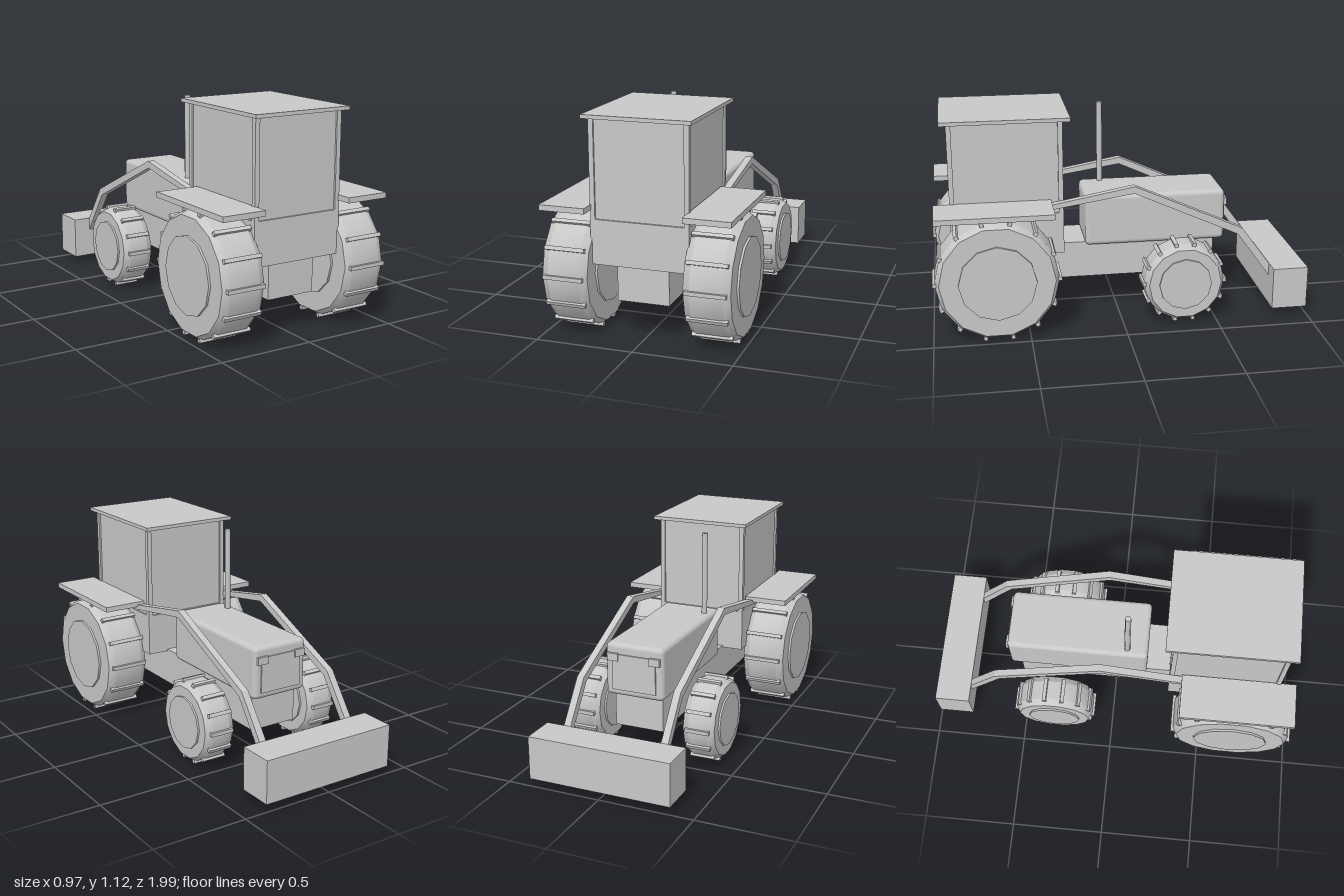
import * as THREE from 'three';
import { toCreasedNormals } from 'three/addons/utils/BufferGeometryUtils.js';
import { RoundedBoxGeometry } from 'three/addons/geometries/RoundedBoxGeometry.js';

export function createModel() {
  const model = new THREE.Group();
  model.name = 'tractor';
  const grey = new THREE.MeshStandardMaterial({ color: 0xc8c8c8 });
  grey.name = 'plainGrey';

  const add = (name, geometry, parent = model) => {
    const mesh = new THREE.Mesh(geometry, grey);
    mesh.name = name;
    parent.add(mesh);
    return mesh;
  };
  // Box given by its limits on each axis
  const box = (name, [x0, x1], [y0, y1], [z0, z1]) => {
    const mesh = add(name, new THREE.BoxGeometry(x1 - x0, y1 - y0, z1 - z0));
    mesh.position.set((x0 + x1) / 2, (y0 + y1) / 2, (z0 + z1) / 2);
  };
  // Limits on the left (+1) or right (-1) side
  const side = (s, a, b) => (s > 0 ? [a, b] : [-b, -a]);

  // Chassis and cab
  box('chassis', [-0.133, 0.133], [0.2, 0.4], [-0.53, 0.84]);
  box('cabBase', [-0.25, 0.25], [0.39, 0.615], [0.3, 0.887]);
  box('cabWindows', [-0.24, 0.24], [0.615, 1.11], [0.31, 0.877]);
  for (const s of [-1, 1]) {
    for (const z of [0.3, 0.862]) {
      box('cabPost', side(s, 0.225, 0.25), [0.615, 1.11], [z, z + 0.025]);
    }
  }
  box('cabRoof', [-0.273, 0.273], [1.108, 1.127], [0.26, 0.922]);

  // Hood with grille, lamps and exhaust
  add('hood', new RoundedBoxGeometry(0.32, 0.28, 0.76, 3, 0.025)).position.set(0, 0.525, -0.205);
  box('grille', [-0.12, 0.12], [0.42, 0.61], [-0.592, -0.584]);
  for (const s of [-1, 1]) {
    box('headlamp', side(s, 0.085, 0.145), [0.575, 0.615], [-0.598, -0.58]);
  }
  add('exhaustPipe', new THREE.CylinderGeometry(0.016, 0.016, 0.46, 8)).position.set(-0.117, 0.88, 0.062);

  // Wheel: bevelled tyre, hub and cross treads, centred on its axle
  const makeWheel = (name, radius, width, hubRadius, hubWidth, treadWidth) => {
    const wheel = new THREE.Group();
    wheel.name = name;
    const h = width / 2, bevel = 0.035, drop = 0.022;
    const profile = [
      [hubRadius * 0.6, -h], [radius - drop, -h], [radius, bevel - h],
      [radius, h - bevel], [radius - drop, h], [hubRadius * 0.6, h],
    ].map(([r, y]) => new THREE.Vector2(r, y));
    const tyre = new THREE.LatheGeometry(profile, 14).rotateZ(-Math.PI / 2);
    add('tyre', toCreasedNormals(tyre, 0.5), wheel);
    add('hub', new THREE.CylinderGeometry(hubRadius, hubRadius, hubWidth, 12).rotateZ(-Math.PI / 2), wheel);
    for (let i = 0; i < 14; i++) {
      const a = (i / 14) * Math.PI * 2;
      const tread = add('tread', new THREE.BoxGeometry(treadWidth, 0.02, 0.02), wheel);
      tread.position.set(0, Math.sin(a) * radius, Math.cos(a) * radius);
      tread.rotation.x = -a;
    }
    return wheel;
  };

  // Lift arm side outline
  const armShape = new THREE.Shape([
    [0.42, 0.662], [-0.07, 0.75], [-0.655, 0.487], [-0.815, 0.268],
    [-0.815, 0.2], [-0.63, 0.455], [-0.067, 0.712], [0.42, 0.637],
  ].map(([z, y]) => new THREE.Vector2(-z, y)));

  for (const s of [-1, 1]) {
    const rear = makeWheel('rearWheel', 0.319, 0.234, 0.2, 0.257, 0.206);
    rear.position.set(s * 0.3585, 0.333, 0.663);
    const front = makeWheel('frontWheel', 0.215, 0.17, 0.14, 0.19, 0.13);
    front.position.set(s * 0.323, 0.238, -0.322);
    model.add(rear, front);

    box('fender', side(s, 0.244, 0.479), [0.66, 0.688], [0.365, 0.97]);

    const arm = new THREE.ExtrudeGeometry(armShape, { depth: 0.038, bevelEnabled: false });
    arm.translate(0, 0, -0.019).rotateY(Math.PI / 2);
    add('liftArm', arm).position.x = s * 0.267;
  }
  box('bucket', [-0.38, 0.38], [0.05, 0.277], [-1, -0.81]);

  return model;
}
